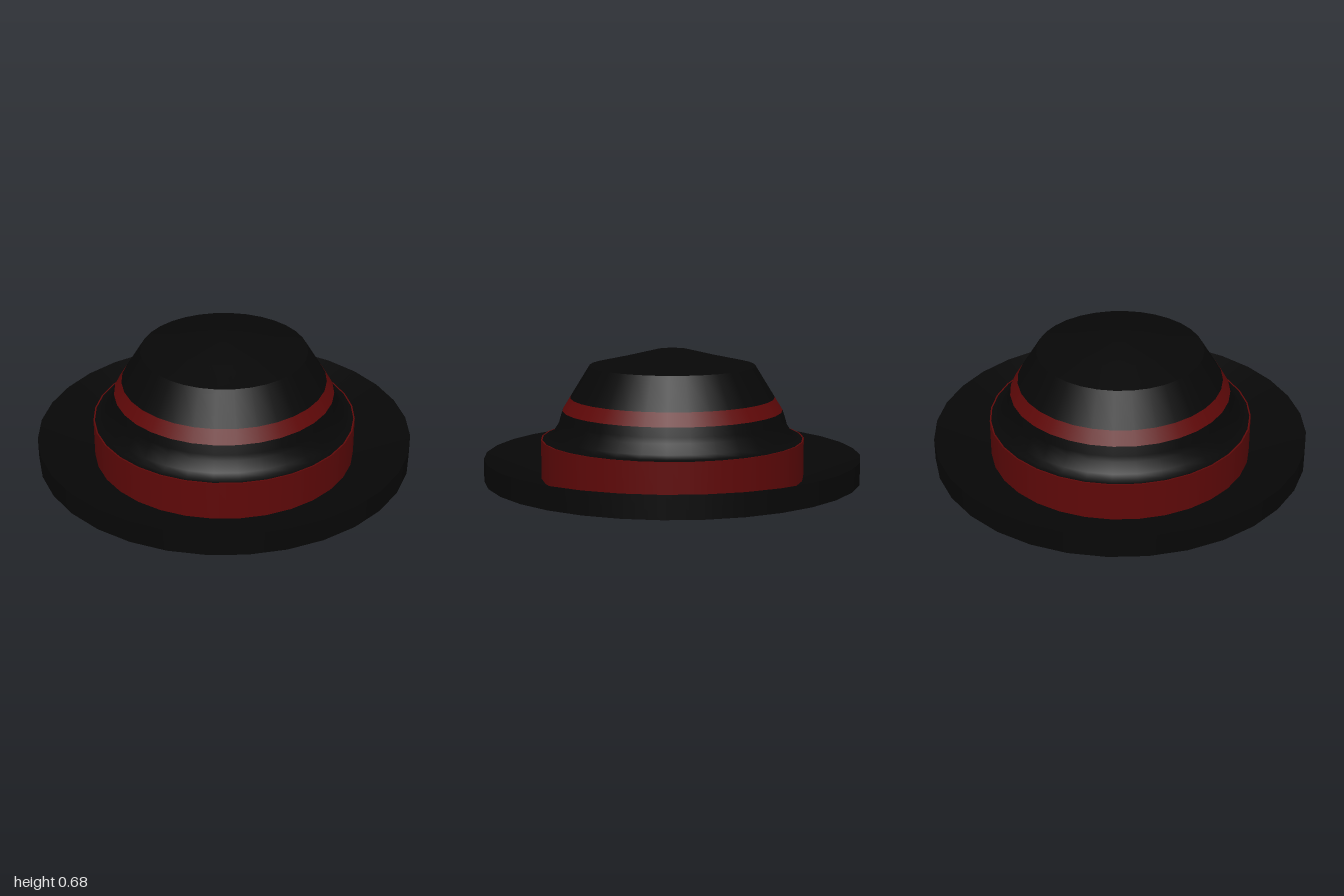
import * as THREE from 'three';

const SIDES = 32;

export function createModel() {
  const hat = new THREE.Group();
  hat.name = 'hat';

  const black = new THREE.MeshStandardMaterial({ color: 0x070707 });
  black.name = 'black felt';
  const red = new THREE.MeshStandardMaterial({ color: 0x5e0808 });
  red.name = 'dark red ribbon';

  // Revolves a profile of [radius, height] points; rising profiles face outward
  function ring(parent, name, material, profile) {
    const points = profile.map(([r, y]) => new THREE.Vector2(r, y));
    const mesh = new THREE.Mesh(new THREE.LatheGeometry(points, SIDES), material);
    mesh.name = name;
    parent.add(mesh);
  }

  // Brim: flat below with the head opening, its top dished down toward the crown
  const brim = new THREE.Group();
  brim.name = 'brim';
  hat.add(brim);
  ring(brim, 'brimUnderside', black, [[0.57, 0], [1, 0]]);
  ring(brim, 'brimEdge', black, [[1, 0], [1, 0.12]]);
  ring(brim, 'brimTop', black, [[1, 0.12], [0.7, 0.005]]);

  // Lower ribbon: an upright band with a narrow top edge
  const lowerBand = new THREE.Group();
  lowerBand.name = 'lowerBand';
  hat.add(lowerBand);
  ring(lowerBand, 'lowerBandSide', red, [[0.7, 0.005], [0.7, 0.212]]);
  ring(lowerBand, 'lowerBandTop', red, [[0.7, 0.212], [0.692, 0.212]]);

  // Crown: flared foot, painted ribbon, sloping side and shallow dome
  const crown = new THREE.Group();
  crown.name = 'crown';
  hat.add(crown);
  ring(crown, 'crownFoot', black, [
    [0.692, 0.212], [0.665, 0.215], [0.64, 0.235], [0.608, 0.285], [0.6, 0.315], [0.585, 0.362],
  ]);
  ring(crown, 'upperBand', red, [[0.585, 0.362], [0.543, 0.43]]);
  ring(crown, 'crownSide', black, [[0.543, 0.43], [0.44, 0.597]]);
  ring(crown, 'crownTop', black, [[0.44, 0.597], [0.26, 0.637], [0.085, 0.68], [0, 0.68]]);

  // Hollow inside, facing inward
  const inside = new THREE.Group();
  inside.name = 'inside';
  hat.add(inside);
  ring(inside, 'innerWall', black, [[0.5, 0.468], [0.57, 0]]);
  ring(inside, 'innerCeiling', black, [[0, 0.52], [0.5, 0.468]]);

  return hat;
}
